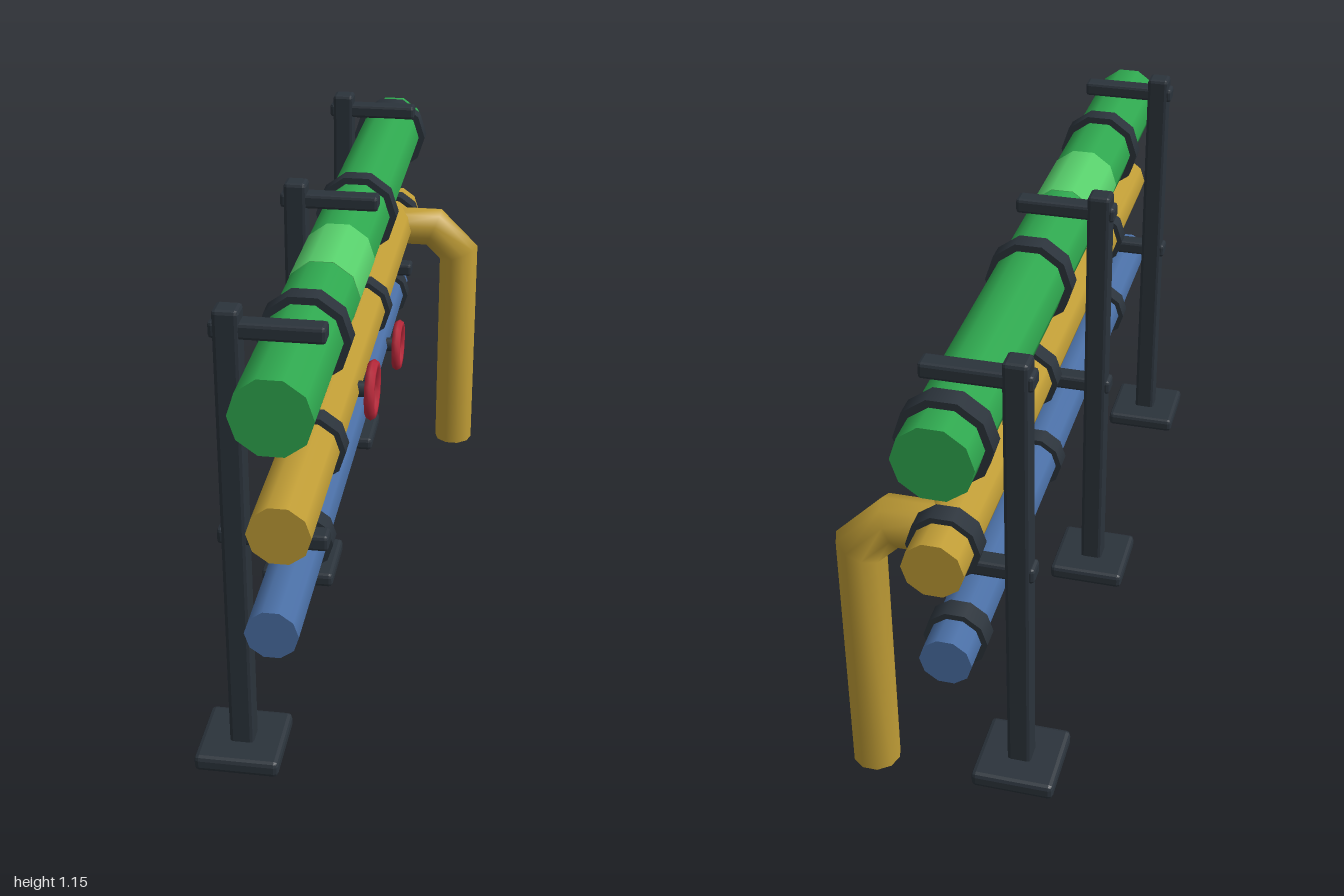
import * as THREE from 'three';
import { RoundedBoxGeometry } from 'three/addons/geometries/RoundedBoxGeometry.js';

const SIDES = 10;

function material(name, color, side = THREE.FrontSide) {
  const m = new THREE.MeshStandardMaterial({ color, side });
  m.name = name;
  return m;
}

// Closed prism along z with a corner pointing to +x
function zCylinder(radius, length) {
  return new THREE.CylinderGeometry(radius, radius, length, SIDES, 1, false, Math.PI / 2).rotateX(Math.PI / 2);
}

// Box with flat chamfered edges
function chamferBox(w, h, d, c) {
  const g = new RoundedBoxGeometry(w, h, d, 1, c);
  g.computeVertexNormals();
  return g;
}

// Tube with mitred bends, swept along points in a plane of constant z
function mitredTube(points, z, radius) {
  const pos = [], index = [];
  points.forEach((p, i) => {
    const a = points[Math.max(i - 1, 0)], b = points[Math.min(i + 1, points.length - 1)];
    const before = p.clone().sub(a).normalize(), after = b.clone().sub(p).normalize();
    const dir = before.clone().add(after).normalize();
    const stretch = 1 / dir.dot(after.lengthSq() ? after : before);
    for (let k = 0; k < SIDES; k++) {
      const t = (k / SIDES) * Math.PI * 2;
      const u = Math.cos(t) * radius * stretch;
      pos.push(p.x - dir.y * u, p.y + dir.x * u, z + Math.sin(t) * radius);
      if (i === 0) continue;
      const n = (k + 1) % SIDES, r0 = (i - 1) * SIDES, r1 = i * SIDES;
      index.push(r0 + k, r0 + n, r1 + k, r0 + n, r1 + n, r1 + k);
    }
  });
  const g = new THREE.BufferGeometry();
  g.setAttribute('position', new THREE.Float32BufferAttribute(pos, 3));
  g.setIndex(index);
  g.computeVertexNormals();
  return g;
}

export function createModel() {
  const model = new THREE.Group();
  model.name = 'pipeRack';
  const green = material('green', 0x2fa84f);
  const lightGreen = material('light green', 0x58d06c);
  const yellow = material('yellow', 0xc09d36, THREE.DoubleSide);
  const blue = material('blue', 0x4a6fa5);
  const dark = material('dark steel', 0x2b333b);
  const red = material('red', 0xb8283a);

  function add(name, geometry, mat, x = 0, y = 0, z = 0, parent = model) {
    const mesh = new THREE.Mesh(geometry, mat);
    mesh.name = name;
    mesh.position.set(x, y, z);
    parent.add(mesh);
    return mesh;
  }

  // Stands: foot plate, post and two arms
  for (const z of [0.8, 0, -0.8]) {
    const stand = new THREE.Group();
    stand.name = 'stand';
    stand.position.set(-0.157, 0, z);
    model.add(stand);
    add('footPlate', chamferBox(0.2, 0.04, 0.2, 0.011), dark, 0, 0.02, 0, stand);
    add('post', chamferBox(0.058, 1.15, 0.058, 0.009), dark, 0, 0.575, 0, stand);
    for (const y of [0.603, 1.103]) {
      add('arm', chamferBox(0.25, 0.038, 0.05, 0.008), dark, 0.086, y, 0, stand);
    }
  }

  // Long pipes with their flanges
  const pipes = [
    { name: 'greenPipe', mat: green, x: -0.03, y: 1.0, r: 0.09, flange: 0.108 },
    { name: 'yellowPipe', mat: yellow, x: -0.02, y: 0.727, r: 0.07, flange: 0.084 },
    { name: 'bluePipe', mat: blue, x: -0.041, y: 0.478, r: 0.06, flange: 0.074 },
  ];
  for (const p of pipes) {
    add(p.name, zCylinder(p.r, 2), p.mat, p.x, p.y);
    for (const z of [0.6, -0.2, -0.9]) add('flange', zCylinder(p.flange, 0.05), dark, p.x, p.y, z);
  }

  // Bright sleeve on the top pipe
  add('sleeve', zCylinder(0.0915, 0.25), lightGreen, -0.03, 1.0, 0.25);

  // Branch pipe bending down to the ground
  const path = [[-0.02, 0.725], [0.115, 0.725], [0.194, 0.646], [0.194, 0]].map(([x, y]) => new THREE.Vector2(x, y));
  add('branchPipe', mitredTube(path, -0.85, 0.058), yellow);
  add('branchEnd', new THREE.CircleGeometry(0.058, SIDES).rotateX(Math.PI / 2), yellow, 0.194, 0, -0.85);

  // Valve hand wheels on stems
  for (const [x, y, z] of [[0.08, 0.727, 0.3], [0.049, 0.478, -0.5]]) {
    const valve = new THREE.Group();
    valve.name = 'valve';
    valve.position.set(x, y, z);
    model.add(valve);
    add('handWheel', new THREE.TorusGeometry(0.062, 0.014, 6, 12).rotateY(Math.PI / 2), red, 0, 0, 0, valve);
    add('stem', new THREE.CylinderGeometry(0.02, 0.02, 0.06, 6).rotateZ(-Math.PI / 2), dark, -0.03, 0, 0, valve);
  }

  return model;
}
